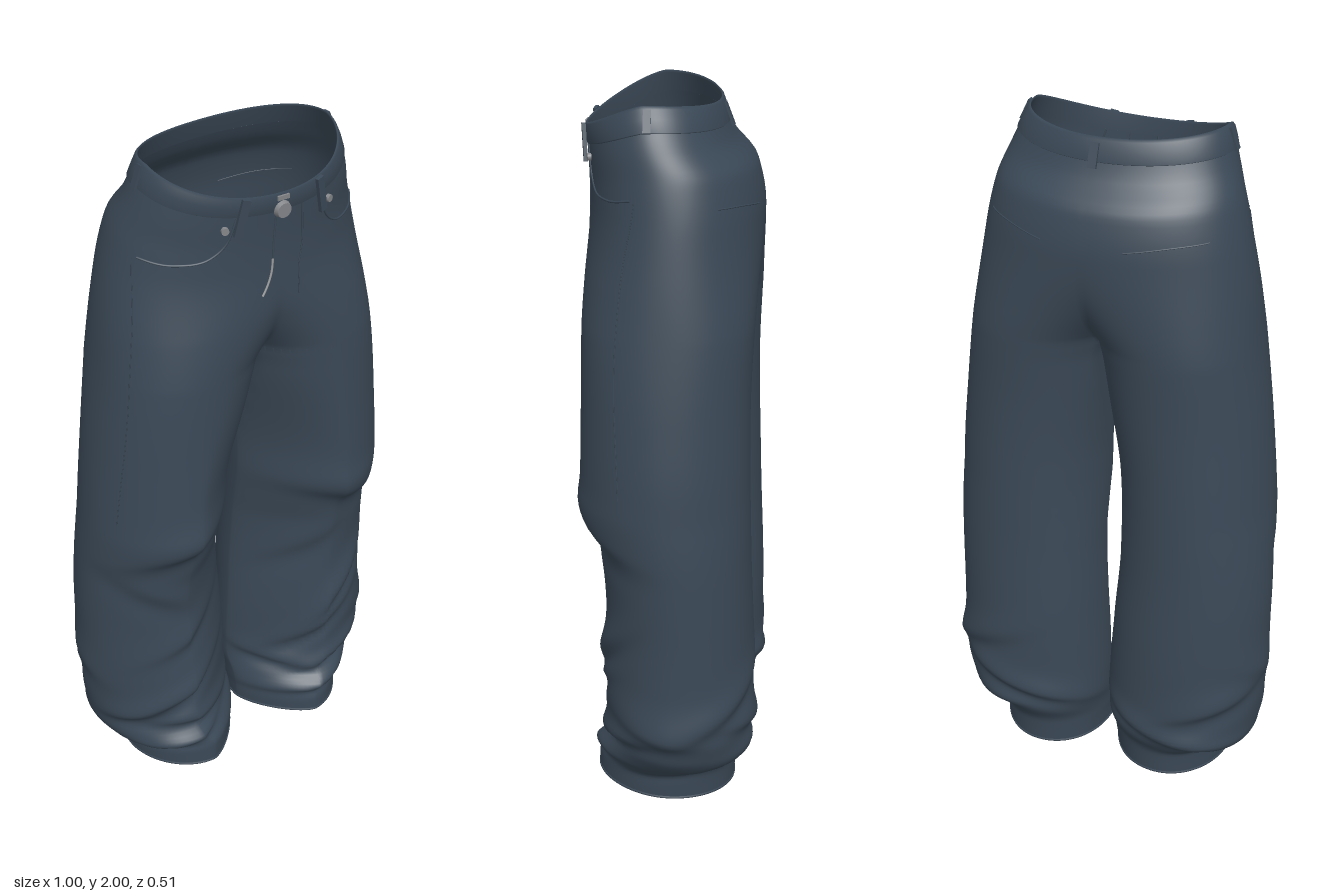
import * as THREE from 'three';
import { mergeVertices, mergeGeometries } from 'three/addons/utils/BufferGeometryUtils.js';

const PI = Math.PI, CROTCH = 1.42, WAIST = 2.0;

// Silhouette profiles: [height, distance]
const outerLeft = [[0, .355], [.07, .36], [.12, .395], [.2, .46], [.3, .485], [.42, .476], [.6, .472], [.8, .472], [1, .463],
  [1.2, .44], [1.4, .41], [1.6, .375], [1.8, .333], [1.9, .3], [1.95, .277], [2, .252]];
const outerRight = [[0, .38], [.08, .385], [.12, .445], [.18, .48], [.4, .498], [.6, .498], [.8, .49], [1, .475],
  [1.2, .453], [1.4, .425], [1.6, .4], [1.8, .358], [1.9, .322], [2, .288]];
const innerLeft = [[0, .015], [.25, .002], [.5, .01], [.75, .018], [1, .014], [1.35, .012], [CROTCH, 0]];
const innerRight = [[0, .03], [.15, .015], [.3, .016], [.5, .03], [.75, .048], [1, .038], [1.2, .022], [1.35, .013], [CROTCH, 0]];
const frontZ = [[0, .21], [.1, .208], [.2, .175], [.4, .18], [.6, .172], [.75, .182], [.85, .212], [.95, .238], [1.2, .234], [1.6, .228], [1.8, .224], [2, .232]];
const backZ = [[0, -.195], [.08, -.2], [.18, -.25], [.4, -.25], [.8, -.235], [1.2, -.225], [1.5, -.235], [1.7, -.243],
  [1.82, -.222], [1.9, -.16], [1.96, -.133], [2, -.12]];

// Cloth folds: [angle, height, slope, angular reach, thickness, amount]
const foldsLeft = [[.1, .88, -.05, .7, .06, .016], [-.5, .68, .12, .5, .06, .008], [.2, .47, .17, .6, .05, .016], [-.2, .34, .12, .6, .035, .016],
  [1.3, .29, -.04, .6, .05, .01], [.3, .21, .05, .8, .03, .018], [-.7, .2, -.05, .5, .03, .012], [0, .11, .02, 1, .025, .012],
  [2.4, .36, .1, .7, .05, .012], [3.3, .24, -.06, .8, .04, .014], [2.2, .14, .04, .8, .03, .014]];
const foldsRight = [[.1, .91, -.06, .7, .06, .015], [.5, .74, .12, .5, .06, .009], [-.1, .55, -.1, .6, .05, .01], [.1, .33, -.1, .7, .045, .02],
  [.8, .25, -.04, .5, .04, .01], [-.3, .2, .02, .8, .03, .018], [.2, .13, -.03, 1, .025, .014], [1.8, .42, .08, .5, .06, .006],
  [2.5, .32, -.08, .6, .05, .013], [3.3, .2, .05, .8, .035, .014], [2.2, .15, .04, .6, .03, .01]];

// Smooth, non-overshooting interpolation of a profile
function at(table, y) {
  const n = table.length - 1;
  if (y <= table[0][0]) return table[0][1];
  if (y >= table[n][0]) return table[n][1];
  let i = 0;
  while (table[i + 1][0] < y) i++;
  const d = j => (table[j + 1][1] - table[j][1]) / (table[j + 1][0] - table[j][0]);
  const slope = j => {
    if (j === 0) return d(0);
    if (j === n) return d(n - 1);
    const a = d(j - 1), b = d(j);
    return a * b > 0 ? 2 * a * b / (a + b) : 0;
  };
  const h = table[i + 1][0] - table[i][0], t = (y - table[i][0]) / h, u = 1 - t;
  return table[i][1] * (1 + 2 * t) * u * u + table[i + 1][1] * t * t * (3 - 2 * t) + h * t * u * (slope(i) * u - slope(i + 1) * t);
}

const TORSO = .95;
const rounded = (v, e = TORSO) => Math.sign(v) * Math.pow(Math.abs(v), e);

// Angle by which each leg wraps round past the centre seam
function wrap(y) {
  const t = THREE.MathUtils.clamp((y - CROTCH) / .33, 0, 1);
  return PI / 3 * (1 - t) * (1 - t);
}

// Point on the cloth: angle 0 = front, PI/2 = outer side, PI = back
function cloth(side, angle, y, offset = 0) {
  const sin = Math.sin(angle), cos = Math.cos(angle);
  const k = THREE.MathUtils.smoothstep(y, 1.0, CROTCH);
  // Legs are cut away at the front inner corner, round elsewhere
  const legShape = cos > 0 ? (sin < 0 ? 1.45 : 1.08) : (sin < 0 ? .95 : 1);
  const e = THREE.MathUtils.lerp(legShape, TORSO, k);
  const S = rounded(sin, e), C = rounded(cos, e);
  const xo = at(side > 0 ? outerLeft : outerRight, y), xi = at(side > 0 ? innerLeft : innerRight, y);
  const zf = at(frontZ, y), zb = at(backZ, y);
  const s0 = THREE.MathUtils.lerp(-1, -rounded(Math.sin(wrap(y))), k);
  let push = offset;
  for (const [fa, fy, slope, reach, thick, amount] of side > 0 ? foldsLeft : foldsRight) {
    let da = angle - fa;
    da -= 2 * PI * Math.round(da / (2 * PI));
    const dy = y - fy - slope * da;
    const w = dy < 0 ? thick * .45 : thick * 1.3;
    push += amount * (Math.exp(-dy * dy / (w * w)) - .6 * Math.exp(-((dy + thick) ** 2) / (thick * thick * .6))) * Math.exp(-da * da / (reach * reach));
  }
  const x = xi + (xo - xi) * (Math.max(S, s0) - s0) / (1 - s0) + push * S * (S < 0 ? 1 - k : 1);
  const z = (zf + zb) / 2 + (zf - zb) / 2 * C + push * C;
  const rise = Math.max(0, (y - 1.55) / .45);
  const drop = rise * (.08 * Math.pow(Math.max(C, 0), 1.3) + .02 * Math.max(-C, 0) ** 2);
  const lift = Math.max(0, 1 - y / .15) * (.01 + .01 * C + (side < 0 ? .006 : 0));
  return new THREE.Vector3(side * x, y - drop + lift, z);
}

// Grid of points to a surface
function grid(rows, cols, point, flip) {
  const pos = [], index = [];
  for (let r = 0; r <= rows; r++) for (let c = 0; c <= cols; c++) pos.push(...point(r, c).toArray());
  for (let r = 0; r < rows; r++) for (let c = 0; c < cols; c++) {
    const a = r * (cols + 1) + c, b = a + 1, d = a + cols + 1, e = d + 1;
    index.push(...(flip ? [a, d, b, b, d, e] : [a, b, d, b, e, d]));
  }
  const g = new THREE.BufferGeometry();
  g.setAttribute('position', new THREE.Float32BufferAttribute(pos, 3));
  g.setIndex(index);
  return g;
}

function smooth(parts) {
  const g = mergeVertices(mergeGeometries(parts), 1e-4);
  g.computeVertexNormals();
  return g;
}

export function createModel() {
  const model = new THREE.Group();
  model.name = 'trousers';
  const denim = new THREE.MeshStandardMaterial({ color: 0x3a4856, side: THREE.DoubleSide });
  denim.name = 'denim';
  const metal = new THREE.MeshStandardMaterial({ color: 0x85878a });
  metal.name = 'metal';
  const lining = new THREE.MeshStandardMaterial({ color: 0x9c9d9e, side: THREE.DoubleSide });
  lining.name = 'lining';
  const add = (name, geometry, material = denim) => {
    const m = new THREE.Mesh(geometry, material);
    m.name = name;
    model.add(m);
    return m;
  };

  // Legs and seat: outer wrap up to the waistband, inner legs up to the crotch
  const legRows = 100, seatRows = 36;
  const legY = r => CROTCH * Math.pow(r / legRows, 1.25);
  const rowY = r => r <= legRows ? legY(r) : CROTCH + (1.97 - CROTCH) * (r - legRows) / seatRows;
  const body = [];
  for (const s of [1, -1]) {
    body.push(grid(legRows + seatRows, 80, (r, c) => {
      const y = rowY(r), w = wrap(y);
      return cloth(s, -w + (PI + 2 * w) * c / 80, y);
    }, s < 0));
    body.push(grid(legRows, 20, (r, c) => cloth(s, PI * 4 / 3 + PI * 2 / 3 * c / 20 - (c === 20 ? 2 * PI : 0), legY(r)), s < 0));
  }
  add('legsAndSeat', smooth(body));

  // Waistband with thickness
  const band = [[1.937, 0], [1.94, .005], [1.97, .006], [1.993, .005], [WAIST, .001], [1.993, -.003], [1.94, -.004]];
  add('waistband', smooth([grid(band.length - 1, 128, (r, c) => {
    const a = (c % 128) / 128 * 2 * PI;
    return a <= PI ? cloth(1, a, ...band[r]) : cloth(-1, 2 * PI - a, ...band[r]);
  })]));

  // Raised seam following the cloth through [angle, height] points
  const seam = (name, side, pts, radius = .003, material = denim) => {
    const flat = new THREE.CatmullRomCurve3(pts.map(p => new THREE.Vector3(p[0], p[1], 0)));
    const path = flat.getPoints(40).map(p => cloth(side, p.x, p.y, .001));
    add(name, new THREE.TubeGeometry(new THREE.CatmullRomCurve3(path), 60, radius, 6), material);
  };

  // Lay a small part flush on the cloth, leaning with its slope
  const place = (mesh, side, a, y, offset, tilt = 0) => {
    mesh.position.copy(cloth(side, a, y, offset));
    const t = cloth(side, a + .02, y).sub(cloth(side, a - .02, y)).multiplyScalar(side);
    const turn = Math.atan2(-t.z, t.x);
    const up = cloth(side, a, y + .02).sub(cloth(side, a, y - .02));
    const lean = Math.atan2(up.x * Math.sin(turn) + up.z * Math.cos(turn), up.y);
    mesh.rotation.set(lean, turn, tilt, 'YXZ');
  };

  for (const s of [1, -1]) {
    const name = s > 0 ? 'left' : 'right';
    // Rolled hem and pale lining inside the back of it
    const ring = Array.from({ length: 64 }, (_, i) => cloth(s, i / 64 * 2 * PI, .004, -.002));
    add(name + 'Hem', new THREE.TubeGeometry(new THREE.CatmullRomCurve3(ring, true), 96, .005, 6, true));
    add(name + 'HemLining', smooth([grid(2, 30, (r, c) => cloth(s, PI * .7 + PI * .65 * c / 30, .003 + r * .012, -.009), s < 0)]), lining);

    seam(name + 'SideSeam', s, [[1.25, 1.78], [1.12, 1.6], [1.05, 1.3], [1.08, 1.0]], .0015);
    seam(name + 'FrontPocket', s, [[.42, 1.935], [.45, 1.86], [.56, 1.81], [.85, 1.785], [1.2, 1.785]], .003);
    seam(name + 'BackPocketTop', s, [[PI - .3, 1.735], [PI - .65, 1.75], [PI - 1, 1.755]], .002);

    // Belt loops: slanted at the front, short at the side
    place(add(name + 'FrontLoop', new THREE.BoxGeometry(.022, .1, .01)), s, .38, 1.94, .011, s * .22);
    place(add(name + 'SideLoop', new THREE.BoxGeometry(.02, .06, .008)), s, 1.6, 1.965, .007);

    const rivet = add(name + 'Rivet', new THREE.CylinderGeometry(.01, .01, .01, 12).rotateX(PI / 2), metal);
    place(rivet, s, .5, 1.9, .006);
  }
  place(add('backLoop', new THREE.BoxGeometry(.024, .065, .008)), 1, PI, 1.955, .008);

  // Fly: opening with a zip below the button, and curved stitching
  seam('flyOpening', -1, [[.07, 1.96], [.07, 1.88], [.07, 1.78]], .003);
  seam('zip', -1, [[.07, 1.78], [.075, 1.72], [.07, 1.66]], .003, lining);
  seam('flyStitching', 1, [[.18, 1.95], [.17, 1.8], [.1, 1.69], [.01, 1.63]], .002);
  const button = add('button', new THREE.CylinderGeometry(.02, .024, .014, 20).rotateX(PI / 2), metal);
  place(button, -1, .03, 1.945, .01);
  place(add('buttonPlate', new THREE.BoxGeometry(.034, .012, .008), metal), -1, .03, 1.985, .006);
  return model;
}
